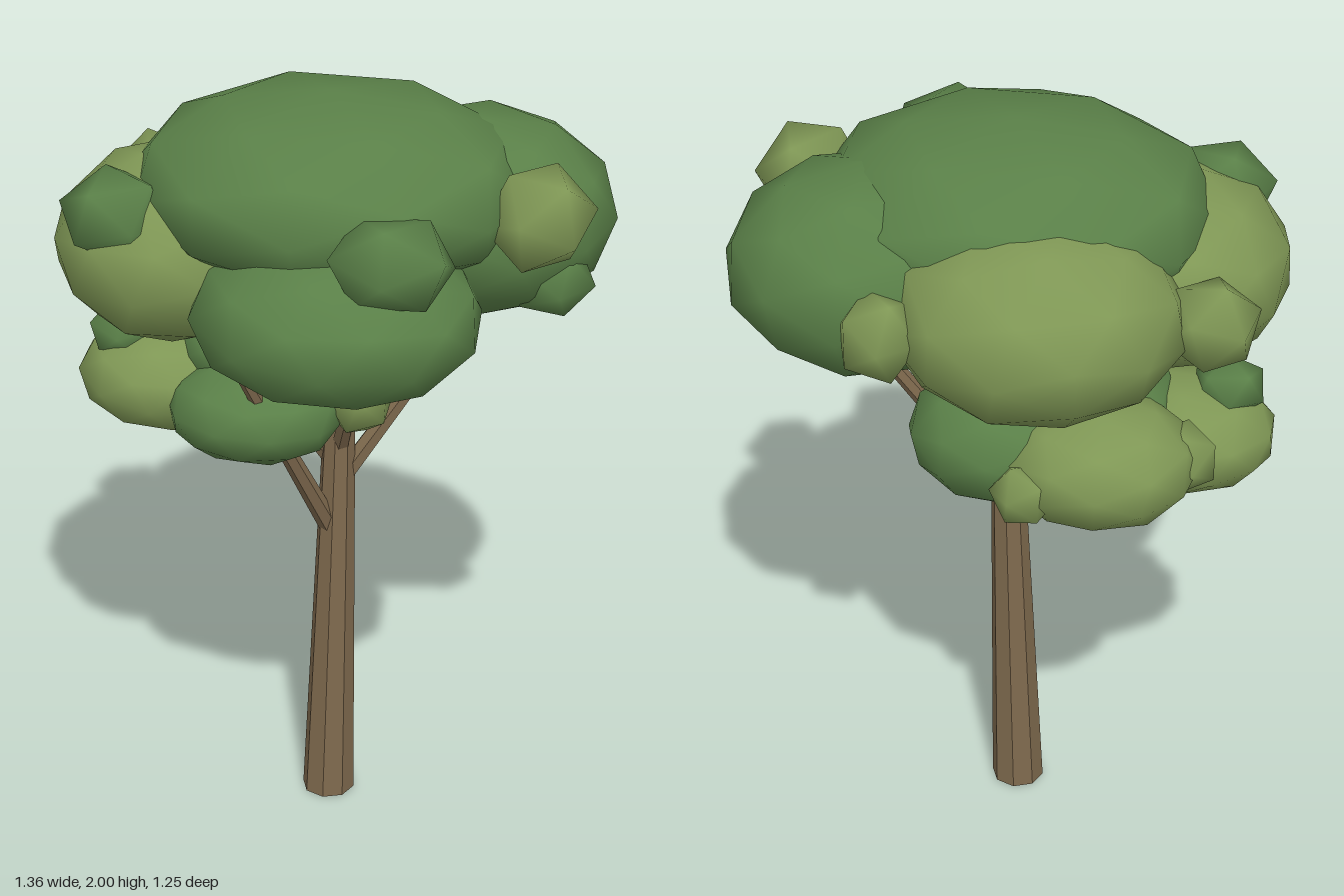
import * as THREE from 'three';
import { mergeVertices } from 'three/addons/utils/BufferGeometryUtils.js';

const bark = new THREE.MeshStandardMaterial({ color: 0x7f6a4e, flatShading: true });
const darkLeaf = new THREE.MeshStandardMaterial({ color: 0x5a8048 });
const lightLeaf = new THREE.MeshStandardMaterial({ color: 0x7f9755 });

// Coarse, smoothly shaded ball turned by its index, then squashed; tufts are coarser
function foliage(name, material, [x, y, z], [rx, ry, rz], index) {
  const small = rx < 0.2;
  let geo = new THREE.IcosahedronGeometry(small ? 1.08 : 1.02, small ? 0 : 1);
  geo.deleteAttribute('normal');
  geo.deleteAttribute('uv');
  geo = mergeVertices(geo, 1e-4);
  geo.rotateY(index * 1.3);
  geo.rotateX(index * 0.7);
  geo.scale(rx, ry, rz);
  geo.computeVertexNormals();
  const mesh = new THREE.Mesh(geo, material);
  mesh.name = name;
  mesh.position.set(x, y, z);
  return mesh;
}

// Tapered limb between two points
function limb(name, from, to, r0, r1, sides) {
  const a = new THREE.Vector3(...from), b = new THREE.Vector3(...to);
  const dir = b.clone().sub(a);
  const mesh = new THREE.Mesh(new THREE.CylinderGeometry(r1, r0, dir.length(), sides), bark);
  mesh.name = name;
  mesh.position.copy(a).add(b).multiplyScalar(0.5);
  mesh.quaternion.setFromUnitVectors(new THREE.Vector3(0, 1, 0), dir.normalize());
  return mesh;
}

// Trunk with level, sheared rings so that it leans yet stands flat
function trunk() {
  const h = 1.45;
  const geo = new THREE.CylinderGeometry(0.033, 0.07, h, 8, 3);
  geo.translate(0, h / 2, 0);
  const p = geo.attributes.position;
  for (let i = 0; i < p.count; i++) {
    const t = p.getY(i) / h;
    p.setX(i, p.getX(i) - 0.016 + 0.036 * t);
    p.setZ(i, p.getZ(i) + 0.015 - 0.015 * t);
  }
  const mesh = new THREE.Mesh(geo, bark);
  mesh.name = 'trunk';
  return mesh;
}

export function createModel() {
  const tree = new THREE.Group();
  tree.name = 'tree';

  // Trunk and branches
  tree.add(
    trunk(),
    limb('leftBranch', [0.015, 0.94, 0], [0.37, 1.48, -0.12], 0.027, 0.017, 6),
    limb('frontBranch', [-0.01, 0.81, 0.02], [-0.2, 1.45, 0.33], 0.028, 0.015, 6),
    limb('upperFrontBranch', [0.01, 1.02, 0.0], [0.13, 1.45, 0.26], 0.025, 0.015, 6),
    limb('rightBranch', [0.01, 0.98, 0], [-0.2, 1.23, -0.02], 0.028, 0.02, 6)
  );

  // Each clump: name, material, centre, radii
  const upper = [
    ['crown', darkLeaf, [-0.005, 1.77, 0.02], [0.5, 0.23, 0.445]],
    ['frontClump', darkLeaf, [0.07, 1.545, 0.305], [0.355, 0.2, 0.32]],
    ['leftClump', darkLeaf, [0.335, 1.665, -0.14], [0.34, 0.25, 0.335]],
    ['backClump', lightLeaf, [-0.11, 1.65, -0.295], [0.36, 0.24, 0.33]],
    ['rightClump', lightLeaf, [-0.37, 1.61, 0.08], [0.315, 0.24, 0.335]],
    ['tuftLeft', lightLeaf, [0.525, 1.76, 0.12], [0.13, 0.125, 0.145]],
    ['tuftFront', darkLeaf, [0.23, 1.745, 0.435], [0.15, 0.11, 0.135]],
    ['tuftFrontRight', darkLeaf, [-0.48, 1.735, 0.26], [0.135, 0.11, 0.135]],
    ['tuftBackRight', lightLeaf, [-0.52, 1.64, -0.255], [0.115, 0.11, 0.115]],
    ['tuftBackLeft', lightLeaf, [0.235, 1.65, -0.455], [0.1, 0.11, 0.1]],
    ['tuftLowLeft', darkLeaf, [0.54, 1.555, 0.0], [0.105, 0.09, 0.105]],
  ];
  const lower = [
    ['lowerCrown', darkLeaf, [-0.13, 1.285, -0.06], [0.3, 0.14, 0.25]],
    ['lowerFrontClump', darkLeaf, [-0.18, 1.18, 0.12], [0.225, 0.13, 0.19]],
    ['lowerRightClump', lightLeaf, [-0.44, 1.195, -0.02], [0.235, 0.14, 0.21]],
    ['lowerBackClump', lightLeaf, [-0.26, 1.24, -0.26], [0.245, 0.155, 0.22]],
    ['lowerLeftClump', darkLeaf, [-0.02, 1.245, -0.185], [0.245, 0.165, 0.215]],
    ['lowerTuftLeft', lightLeaf, [0.08, 1.215, 0.085], [0.085, 0.09, 0.085]],
    ['lowerTuftRight', darkLeaf, [-0.55, 1.315, 0.01], [0.09, 0.07, 0.09]],
    ['lowerTuftBackRight', lightLeaf, [-0.46, 1.24, -0.22], [0.09, 0.085, 0.09]],
    ['lowerTuftBack', lightLeaf, [-0.1, 1.21, -0.4], [0.08, 0.08, 0.075]],
  ];
  [['upperFoliage', upper], ['lowerFoliage', lower]].forEach(([name, clumps], k) => {
    const group = new THREE.Group();
    group.name = name;
    clumps.forEach((c, i) => group.add(foliage(...c, i + k * 11)));
    tree.add(group);
  });
  return tree;
}
